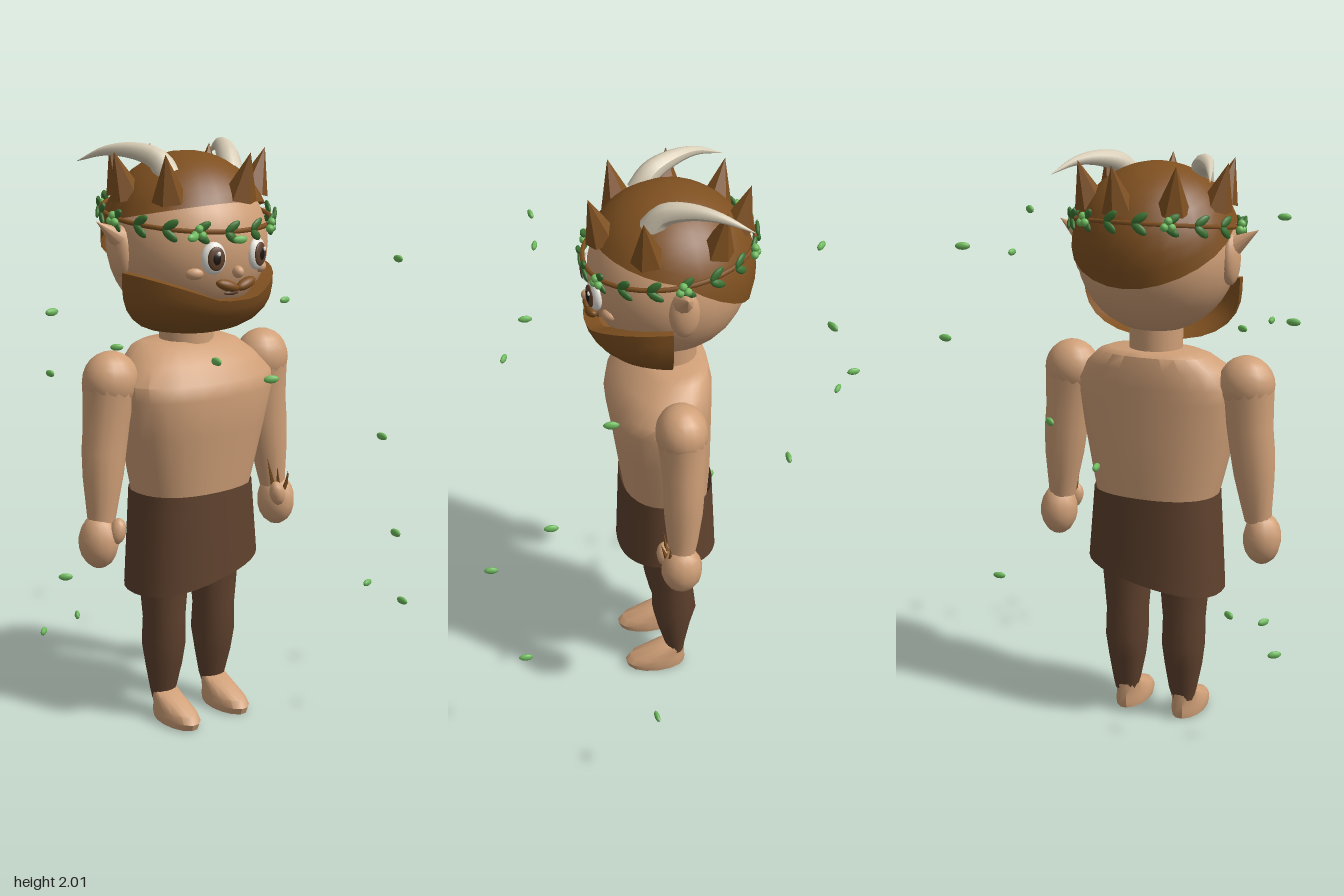
import * as THREE from 'three';
import { toCreasedNormals } from 'three/addons/utils/BufferGeometryUtils.js';

const material = (name, color, side = THREE.FrontSide) => {
  const m = new THREE.MeshStandardMaterial({ color, side });
  m.name = name;
  return m;
};

export function createModel() {
  const skin = material('skin', 0xd0a078);
  const hair = material('hair brown', 0x7f5020, THREE.DoubleSide);
  const cloth = material('dark cloth', 0x5f412d, THREE.DoubleSide);
  const ivory = material('horn ivory', 0xd8cdb6);
  const leafDark = material('leaf dark green', 0x3c7433);
  const leafLight = material('leaf light green', 0x6fbc5e);
  const white = material('eye white', 0xeeeae2);
  const black = material('pupil black', 0x1c1512);

  const root = new THREE.Group();
  root.name = 'hornedFigure';
  const body = new THREE.Group();
  body.name = 'body';
  body.position.x = -0.115;
  root.add(body);

  const add = (name, geo, mat, parent = body) => {
    const m = new THREE.Mesh(geo, mat);
    m.name = name;
    parent.add(m);
    return m;
  };

  // Surface from a rule f(u, v); u runs from +x towards +z, v runs upwards
  const grid = (nu, nv, f, crease = 0.7) => {
    const pos = [], idx = [];
    for (let j = 0; j <= nv; j++) for (let i = 0; i <= nu; i++) pos.push(...f(i / nu, j / nv, j));
    for (let j = 0; j < nv; j++) for (let i = 0; i < nu; i++) {
      const a = j * (nu + 1) + i, b = a + nu + 1;
      idx.push(a, b, a + 1, a + 1, b, b + 1);
    }
    const g = new THREE.BufferGeometry();
    g.setAttribute('position', new THREE.Float32BufferAttribute(pos, 3));
    g.setIndex(idx);
    return toCreasedNormals(g, crease);
  };

  // Stacked rings [x, y, z, rx, rz], bottom to top; power under 1 squares the section
  const loft = (rings, seg = 16, power = 1) => grid(seg, rings.length - 1, (u, v, j) => {
    const [x, y, z, rx, rz] = rings[j];
    const a = (u % 1) * Math.PI * 2, c = Math.cos(a), s = Math.sin(a);
    return [x + rx * Math.sign(c) * Math.abs(c) ** power, y, z + rz * Math.sign(s) * Math.abs(s) ** power];
  });

  const ball = (name, mat, p, r, parent = body, ws = 16, hs = 12) => {
    const m = add(name, new THREE.SphereGeometry(1, ws, hs), mat, parent);
    m.position.set(...p);
    m.scale.set(...r);
    return m;
  };

  // Cone from a base point to a tip
  const spike = (name, mat, from, to, r, seg = 6, parent = body) => {
    const a = new THREE.Vector3(...from), d = new THREE.Vector3(...to).sub(a), len = d.length();
    const geo = new THREE.ConeGeometry(r, len, seg).translate(0, len / 2, 0);
    const m = add(name, toCreasedNormals(geo, seg > 8 ? 0.7 : 0.2), mat, parent);
    m.position.copy(a);
    m.quaternion.setFromUnitVectors(new THREE.Vector3(0, 1, 0), d.normalize());
    return m;
  };

  // Torso and neck
  add('torso', loft([
    [0, 0.8, 0.025, 0.21, 0.15], [0, 0.9, 0.03, 0.235, 0.16], [0, 1.05, 0.04, 0.27, 0.17],
    [0, 1.18, 0.05, 0.295, 0.18], [0, 1.23, 0.045, 0.295, 0.175], [0, 1.29, 0.02, 0.25, 0.15],
    [0, 1.335, -0.005, 0.2, 0.115], [0, 1.35, -0.01, 0.16, 0.09], [0, 1.351, -0.01, 0.001, 0.001],
  ], 24, 0.85), skin);
  add('neck', new THREE.CylinderGeometry(0.092, 0.092, 0.12, 20), skin).position.set(0, 1.38, 0.005);

  // Wrapped skirt with a slanted hem
  add('skirt', grid(32, 5, (u, v) => {
    const a = u * Math.PI * 2, c = Math.cos(a), s = Math.sin(a);
    const x = Math.sign(c) * Math.abs(c) ** 0.85 * (0.245 - 0.02 * v);
    const hem = 0.54 + 0.2 * x;
    return [x, hem + (0.845 - hem) * v, 0.025 + Math.sign(s) * Math.abs(s) ** 0.85 * (0.178 - 0.014 * v)];
  }), cloth);

  for (const s of [1, -1]) {
    const side = s > 0 ? 'left' : 'right';

    // Leg and foot
    const lx = s * 0.11;
    add(side + 'Leg', loft([
      [lx + s * 0.002, 0.07, 0.005, 0.04, 0.03], [lx, 0.11, 0.008, 0.052, 0.04],
      [lx, 0.2, 0.012, 0.068, 0.062], [lx, 0.28, 0.01, 0.076, 0.082], [lx, 0.38, 0.015, 0.076, 0.076],
      [lx, 0.54, 0.015, 0.09, 0.088], [lx, 0.72, 0.015, 0.095, 0.095],
    ], 14), cloth);
    add(side + 'Foot', loft([
      [lx, 0, 0.08, 0.001, 0.001], [lx, 0.001, 0.08, 0.054, 0.108], [lx, 0.025, 0.083, 0.059, 0.115],
      [lx, 0.05, 0.075, 0.055, 0.105], [lx, 0.085, 0.03, 0.05, 0.06], [lx, 0.105, 0.008, 0.046, 0.036],
      [lx, 0.106, 0.008, 0.001, 0.001],
    ], 14), skin);

    // Arm and hand
    ball(side + 'Shoulder', skin, [s * 0.325, 1.245, 0.018], [0.098, 0.1, 0.088]);
    add(side + 'Arm', loft([
      [s * 0.375, 0.77, 0.025, 0.046, 0.045], [s * 0.37, 0.82, 0.022, 0.053, 0.053],
      [s * 0.36, 0.93, 0.018, 0.07, 0.066], [s * 0.352, 1.02, 0.015, 0.078, 0.07],
      [s * 0.342, 1.1, 0.015, 0.08, 0.074], [s * 0.327, 1.24, 0.018, 0.094, 0.085],
    ], 14), skin);
    ball(side + 'Hand', skin, [s * 0.39, 0.71, 0.028], [0.066, 0.092, 0.072], body, 12, 9);
    ball(side + 'Thumb', skin, [s * 0.35, 0.75, 0.082], [0.028, 0.045, 0.028], body, 10, 8).rotation.z = s * 0.2;

    // Pointed ear
    ball(side + 'EarLobe', skin, [s * 0.268, 1.665, 0.0], [0.03, 0.085, 0.05]);
    spike(side + 'EarTip', skin, [s * 0.25, 1.695, 0.005], [s * 0.362, 1.768, 0.005], 0.045, 10);

    // Eye, cheek and moustache
    const eye = new THREE.Group();
    eye.name = side + 'Eye';
    eye.position.set(s * 0.09, 1.655, 0.264);
    eye.rotation.y = s * 0.28;
    body.add(eye);
    ball('eyeWhite', white, [0, 0, 0], [0.043, 0.053, 0.022], eye);
    ball('iris', cloth, [-s * 0.003, 0, 0.017], [0.03, 0.039, 0.008], eye);
    ball('pupil', black, [-s * 0.003, 0, 0.021], [0.016, 0.022, 0.006], eye);
    ball('eyeGlint', white, [0.009, 0.016, 0.025], [0.007, 0.008, 0.004], eye, 8, 6);
    ball(side + 'Cheek', skin, [s * 0.137, 1.605, 0.225], [0.03, 0.02, 0.02]).rotation.y = s * 0.55;
    const whisker = ball(side + 'Moustache', hair, [s * 0.038, 1.563, 0.272], [0.044, 0.018, 0.02]);
    whisker.rotation.set(0, s * 0.15, s * 0.3);

    // Curved, tapering horn
    const curve = new THREE.CatmullRomCurve3([
      [0.128, 1.9, 0.085], [0.145, 1.955, 0.045], [0.185, 1.98, -0.03], [0.235, 1.977, -0.12], [0.278, 1.94, -0.22],
    ].map(([x, y, z]) => new THREE.Vector3(s * x, y, z)));
    const horn = new THREE.TubeGeometry(curve, 16, 0.042, 10);
    const p = horn.attributes.position, v = new THREE.Vector3();
    for (let i = 0; i < p.count; i++) {
      const t = Math.floor(i / 11) / 16, c = curve.getPointAt(t);
      v.fromBufferAttribute(p, i).sub(c).multiplyScalar(1.02 - t ** 1.2).add(c);
      p.setXYZ(i, v.x, v.y, v.z);
    }
    horn.computeVertexNormals();
    add(side + 'Horn', horn, ivory);
  }

  // Head and nose
  ball('head', skin, [0, 1.675, 0.01], [0.272, 0.272, 0.268], body, 28, 20);
  ball('nose', skin, [0, 1.605, 0.278], [0.018, 0.02, 0.022]);
  ball('mouth', cloth, [0, 1.533, 0.245], [0.03, 0.008, 0.008]);

  // Hair cap, longer at the back
  add('hairCap', grid(28, 10, (u, v) => {
    const a = u * Math.PI * 2, s = Math.sin(a), R = 0.286;
    const edge = Math.asin((0.08 + (s > 0 ? 0.055 : 0.18) * s) / R);
    const t = edge + (Math.PI / 2 - edge) * v, r = R * Math.cos(t);
    return [r * Math.cos(a), 1.69 + R * Math.sin(t), 0.006 + r * s];
  }), hair);

  // Beard shell around the jaw, with a rim turned in along the top
  add('beard', grid(20, 9, (u, v, j) => {
    const a = Math.PI * (0.03 + 0.94 * u), c = Math.cos(a);
    const top = 1.515 + 0.085 * Math.max(0, (Math.abs(c) - 0.25) / 0.75);
    const w = Math.min(1, j / 8), y = 1.377 + (top - 1.377) * (1 - Math.cos(w * Math.PI / 2));
    const t = Math.min(1, Math.max(0, (1.56 - y) / 0.183));
    const r = j === 9 ? 0.235 : 0.288 * (1 - t ** 2.5) ** (1 / 2.5);
    return [r * c, y, 0.01 + r * Math.sin(a)];
  }), hair);

  // Ring of hair spikes
  [-126, -80, -35, 25, 78, 142, 188].forEach((deg) => {
    const a = deg * Math.PI / 180, x = Math.cos(a), z = Math.sin(a);
    spike('hairSpike', hair, [x * 0.222, 1.835, 0.01 + z * 0.222], [x * 0.268, 1.982, 0.01 + z * 0.268], 0.058);
  });

  // Wreath: vine, paired leaves and light buds
  const wreath = new THREE.Group();
  wreath.name = 'wreath';
  wreath.position.set(0, 1.772, 0.008);
  wreath.rotation.x = 0.12;
  body.add(wreath);
  add('vine', new THREE.TorusGeometry(0.284, 0.008, 6, 40), hair, wreath).rotation.x = Math.PI / 2;
  const station = (angle) => {
    const g = new THREE.Group();
    g.name = 'wreathSprig';
    g.rotation.y = angle;
    wreath.add(g);
    return g;
  };
  for (let i = 0; i < 18; i++) {
    const g = station((i + 0.5) * Math.PI / 9);
    for (const s of [1, -1]) {
      ball('wreathLeaf', leafDark, [0.012, s * 0.017, 0.293], [0.03, 0.014, 0.008], g, 8, 6).rotation.z = s * 0.6;
    }
  }
  for (let i = 0; i < 6; i++) {
    const g = station(Math.PI / 6 + (i + 1) * Math.PI / 3);
    for (const [x, y] of [[-0.012, -0.008], [0.012, -0.008], [0, 0.012]]) {
      ball('bud', leafLight, [x, y, 0.3], [0.014, 0.014, 0.014], g, 8, 6);
    }
  }

  // Twigs held in the left hand
  [[0.205, 0.885, 0.06], [0.232, 0.85, 0.085], [0.275, 0.825, 0.1], [0.297, 0.825, 0.07]].forEach(([x, y, z], i) => {
    spike('twig', hair, [0.24 + i * 0.014, 0.73, 0.07], [x, y, z], 0.013, 5, root);
  });

  // Drifting leaves [x, y, z, heading in degrees]
  [
    [-0.62, 1.485, -0.045, 0], [-0.62, 0.365, -0.145, 40], [-0.48, 0.51, -0.215, -35], [-0.545, 0.435, -0.05, 60],
    [0.385, 1.72, -0.42, 25], [0.56, 1.37, -0.257, 0], [0.36, 1.02, 0.475, 90], [0.365, 0.46, 0.59, 90],
    [0.612, 0.35, 0.17, 10], [0.597, 1.585, 0.295, 85], [-0.218, 1.315, 0.565, -25], [-0.363, 1.375, 0.475, 90],
    [0.23, 0.755, 0.68, 85], [0.125, 1.855, -0.44, -40], [-0.22, 1.12, -0.685, 95], [0, 1.21, -0.565, -35],
    [-0.237, 1.735, 0.435, -12], [-0.417, 1.755, 0.43, 10],
  ].forEach(([x, y, z, deg]) => {
    ball('driftingLeaf', leafLight, [x, y, z], [0.025, 0.013, 0.009], root, 8, 6).rotation.y = deg * Math.PI / 180;
  });

  return root;
}
